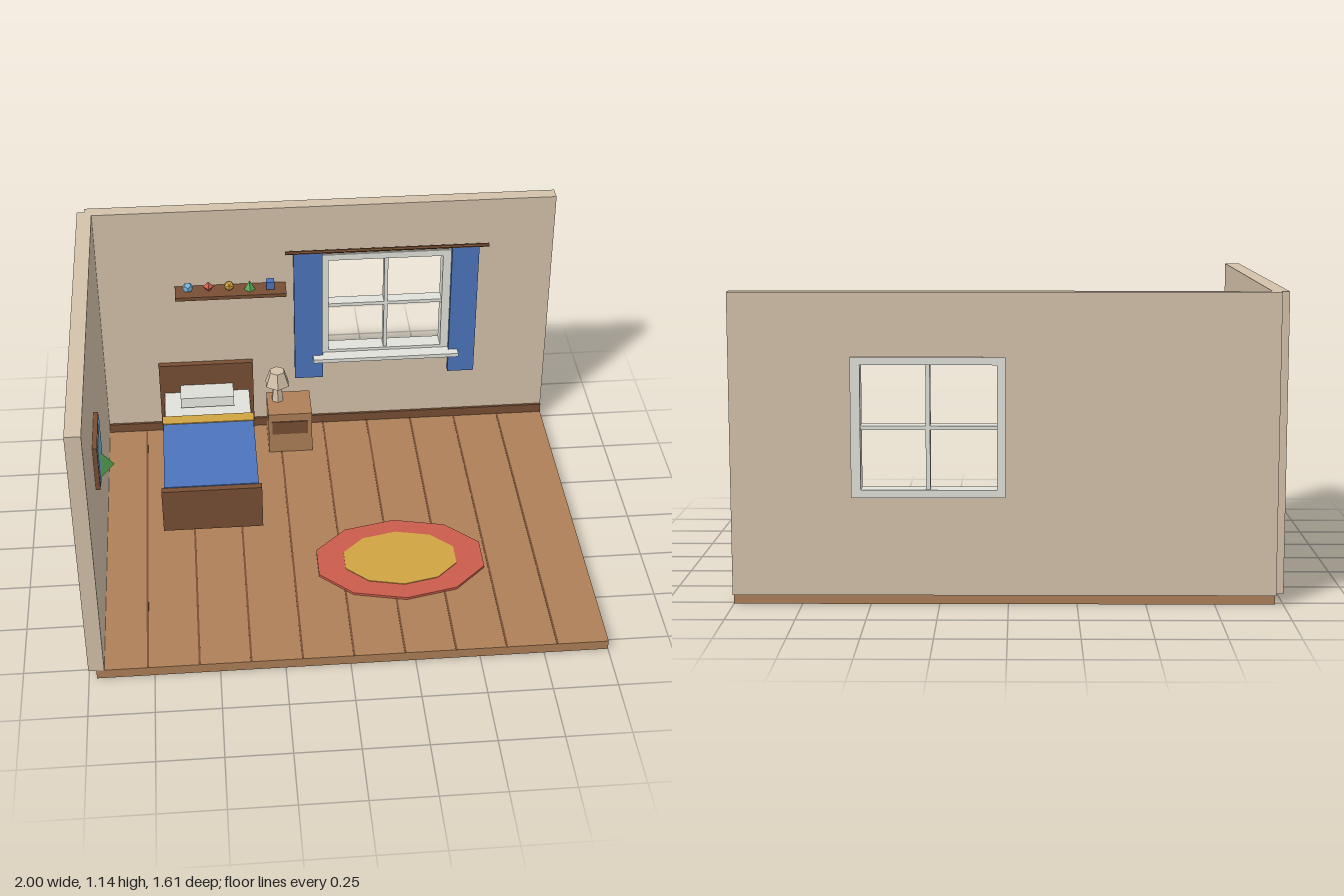
import * as THREE from 'three';

const mat = (name, color) => {
  const m = new THREE.MeshStandardMaterial({ color });
  m.name = name;
  m.flatShading = true;
  return m;
};

export function createModel() {
  const root = new THREE.Group();
  root.name = 'bedroom';
  const M = {
    wall: mat('wallBeige', 0xd4c2aa),
    wood: mat('wood', 0xad8058),
    dark: mat('darkWood', 0x784f34),
    white: mat('white', 0xe2e2dc),
    blue: mat('blue', 0x4c74bc),
    yellow: mat('yellow', 0xd0a442),
    red: mat('red', 0xcb5c4c),
    green: mat('green', 0x5aae5a),
    sky: mat('skyBlue', 0x74b2d6),
  };
  const add = (name, geo, m, x = 0, y = 0, z = 0, parent = root) => {
    const mesh = new THREE.Mesh(geo, m);
    mesh.name = name;
    mesh.position.set(x, y, z);
    parent.add(mesh);
    return mesh;
  };
  // box given by its limits on each axis
  const box = (name, m, [x0, x1], [y0, y1], [z0, z1], parent = root) =>
    add(name, new THREE.BoxGeometry(x1 - x0, y1 - y0, z1 - z0), m,
      (x0 + x1) / 2, (y0 + y1) / 2, (z0 + z1) / 2, parent);
  const group = (name) => {
    const g = new THREE.Group();
    g.name = name;
    root.add(g);
    return g;
  };

  // Floor with plank seams
  box('floor', M.wood, [-0.97, 1], [0, 0.04], [-0.77, 0.8]);
  for (let i = 0; i < 9; i++) {
    const x = -0.775 + i * 0.197;
    box('plankSeam', M.dark, [x - 0.004, x + 0.004], [0.039, 0.042], [-0.735, 0.799]);
  }

  // Walls; the back wall has a window opening
  box('leftWall', M.wall, [-1, -0.94], [0.04, 1.14], [-0.77, 0.8]);
  const rect = (path, x0, y0, x1, y1) =>
    path.moveTo(x0, y0).lineTo(x1, y0).lineTo(x1, y1).lineTo(x0, y1).closePath();
  const wall = new THREE.Shape();
  rect(wall, -0.97, 0.04, 1, 1.14);
  const hole = new THREE.Path();
  rect(hole, 0.025, 0.415, 0.545, 0.895);
  wall.holes.push(hole);
  add('backWall', new THREE.ExtrudeGeometry(wall, { depth: 0.06, bevelEnabled: false }), M.wall, 0, 0, -0.8);
  box('baseboard', M.dark, [-0.94, 1], [0.04, 0.08], [-0.742, -0.73]);

  // Window
  const win = group('window');
  const wz = [-0.805, -0.733];
  box('frameLeft', M.white, [0.01, 0.04], [0.4, 0.908], wz, win);
  box('frameRight', M.white, [0.53, 0.565], [0.4, 0.908], wz, win);
  box('frameTop', M.white, [0.04, 0.53], [0.88, 0.908], wz, win);
  box('frameBottom', M.white, [0.04, 0.53], [0.4, 0.428], wz, win);
  box('mullion', M.white, [0.28, 0.296], [0.428, 0.88], [-0.795, -0.74], win);
  box('crossbar', M.white, [0.04, 0.53], [0.645, 0.66], [-0.795, -0.74], win);
  box('sill', M.white, [-0.03, 0.605], [0.398, 0.415], [-0.74, -0.675], win);

  // Curtains and rod
  const curtains = group('curtains');
  for (const xr of [[-0.11, 0.012], [0.565, 0.68]])
    box('curtain', M.blue, xr, [0.3, 0.93], [-0.736, -0.711], curtains);
  const rod = add('curtainRod', new THREE.CylinderGeometry(0.008, 0.008, 0.865, 6), M.dark, 0.288, 0.937, -0.713, curtains);
  rod.rotation.z = Math.PI / 2;

  // Shelf with five small solids
  const shelf = group('shelf');
  box('shelfBoard', M.dark, [-0.615, -0.145], [0.765, 0.781], [-0.74, -0.645], shelf);
  const solids = [
    [new THREE.DodecahedronGeometry(0.023), M.sky],
    [new THREE.OctahedronGeometry(0.024), M.red],
    [new THREE.IcosahedronGeometry(0.023), M.yellow],
    [new THREE.ConeGeometry(0.024, 0.044, 4), M.green],
    [new THREE.BoxGeometry(0.034, 0.036, 0.034), M.blue],
  ];
  solids.forEach(([geo, m], i) => add('ornament', geo, m, -0.56 + i * 0.0872, 0.803, -0.692, shelf));

  // Picture with a raised mountain
  const picture = group('picture');
  box('pictureFrame', M.dark, [-0.94, -0.922], [0.575, 0.77], [0.135, 0.375], picture);
  box('pictureSky', M.sky, [-0.924, -0.919], [0.59, 0.753], [0.154, 0.356], picture);
  add('mountain', new THREE.ConeGeometry(0.057, 0.08, 3), M.green, -0.92, 0.624, 0.253, picture);

  // Bed
  const bed = group('bed');
  box('headboard', M.dark, [-0.705, -0.295], [0.08, 0.395], [-0.737, -0.71], bed);
  box('footboard', M.dark, [-0.705, -0.295], [0.08, 0.28], [0.004, 0.033], bed);
  box('bedFrame', M.wood, [-0.69, -0.31], [0.08, 0.198], [-0.71, 0.004], bed);
  box('mattress', M.white, [-0.685, -0.315], [0.198, 0.253], [-0.71, 0.004], bed);
  box('blanket', M.blue, [-0.693, -0.307], [0.24, 0.284], [-0.43, 0.006], bed);
  box('blanketFold', M.yellow, [-0.695, -0.305], [0.24, 0.288], [-0.485, -0.43], bed);
  const pillow = box('pillow', M.white, [-0.615, -0.385], [0.258, 0.302], [-0.705, -0.575], bed);
  pillow.rotation.x = -0.14;

  // Nightstand
  const stand = group('nightstand');
  box('cabinet', M.wood, [-0.24, -0.05], [0.04, 0.24], [-0.698, -0.525], stand);
  box('drawerFront', M.dark, [-0.224, -0.069], [0.138, 0.202], [-0.526, -0.52], stand);

  // Lamp
  const lamp = group('lamp');
  add('lampBase', new THREE.CylinderGeometry(0.02, 0.027, 0.09, 6), M.wall, -0.193, 0.285, -0.643, lamp);
  add('lampShade', new THREE.CylinderGeometry(0.034, 0.057, 0.066, 6), M.wall, -0.193, 0.357, -0.643, lamp);

  // Oval rug
  const rug = group('rug');
  const oval = (name, r, h, m) =>
    add(name, new THREE.CylinderGeometry(r, r, h, 10), m, 0.25, 0.04 + h / 2, 0.25, rug).scale.set(1, 1, 0.696);
  oval('rugBorder', 0.353, 0.01, M.red);
  oval('rugCentre', 0.237, 0.013, M.yellow);

  return root;
}
